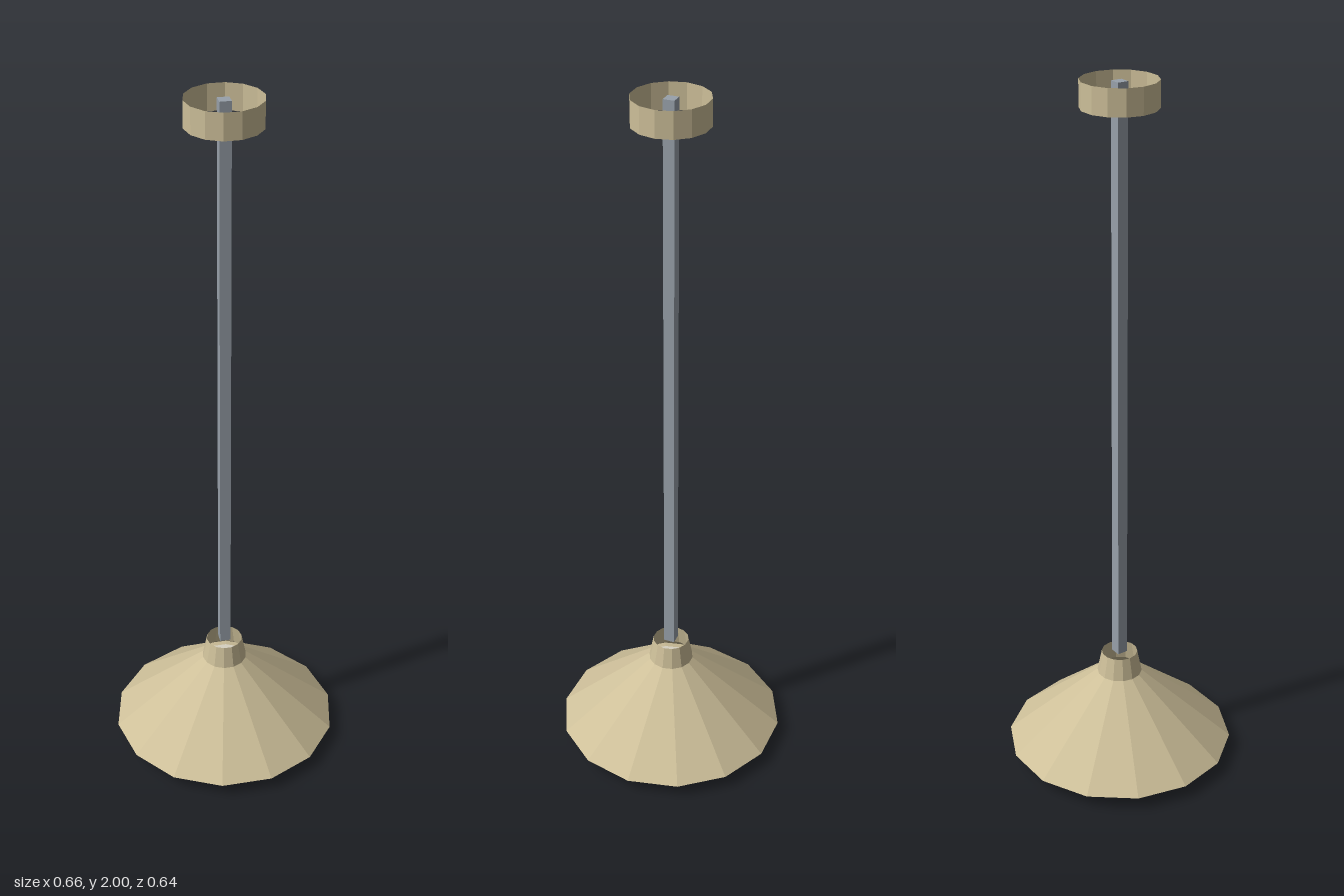
import * as THREE from 'three';

const SIDES = 14;

function material(name, color) {
  const m = new THREE.MeshStandardMaterial({ color, flatShading: true, side: THREE.DoubleSide });
  m.name = name;
  return m;
}

export function createModel() {
  const lamp = new THREE.Group();
  lamp.name = 'pendantLamp';
  const tan = material('tan', 0xcdbf99);
  const cream = material('cream', 0xd6d0c0);
  const steel = material('steel', 0x98a1aa);

  const add = (name, geometry, mat, y = 0) => {
    const mesh = new THREE.Mesh(geometry, mat);
    mesh.name = name;
    mesh.position.y = y;
    lamp.add(mesh);
  };

  // Faceted surface of revolution through [radius, height] points, corners on the x axis
  const turned = (...points) =>
    new THREE.LatheGeometry(points.map(([r, y]) => new THREE.Vector2(r, y)), SIDES)
      .rotateY(Math.PI / 2);

  // Ceiling canopy: a thin open ring
  add('canopy', turned([0.103, 1.928], [0.103, 2]), tan);

  // Square hanging rod
  add('rod', new THREE.BoxGeometry(0.031, 1.67, 0.031), steel, 1.16);

  // Open neck, conical shade and its narrow inner lip
  add('neck', turned([0.065, 0.26], [0.052, 0.325]), tan);
  add('shade', turned([0.328, 0.04], [0.065, 0.26]), tan);
  add('shadeLip', turned([0.303, 0.046], [0.328, 0.04]), tan);

  // Diffuser plate closing the shade, with the tapered lens below it
  add('diffuser', turned([0, 0.046], [0.303, 0.046]), cream);
  add('lens', turned([0, 0], [0.074, 0], [0.086, 0.046]), cream);

  return lamp;
}
